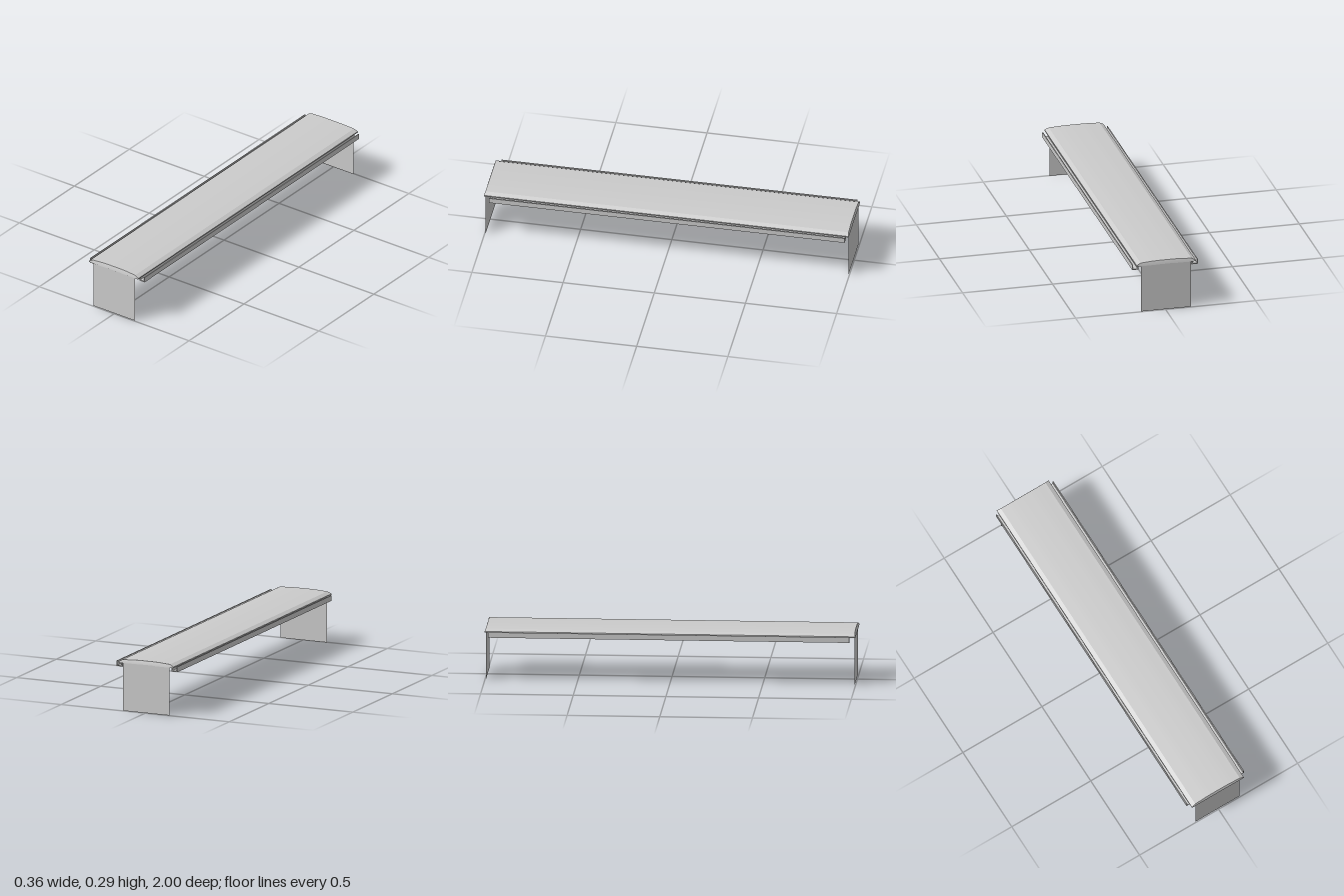
import * as THREE from 'three';
import { toCreasedNormals } from 'three/addons/utils/BufferGeometryUtils.js';

const material = new THREE.MeshStandardMaterial({ color: 0xcccccc });
const thinMaterial = new THREE.MeshStandardMaterial({ color: 0xcccccc, side: THREE.DoubleSide });

// Extrude a cross-section of [x, y] points from z0 to z1
function extrudeProfile(points, z0, z1) {
  const shape = new THREE.Shape(points.map(([x, y]) => new THREE.Vector2(x, y)));
  const geometry = new THREE.ExtrudeGeometry(shape, { depth: z1 - z0, bevelEnabled: false });
  return geometry.translate(0, 0, z0);
}

function addMesh(group, name, geometry, mat = material) {
  const mesh = new THREE.Mesh(geometry, mat);
  mesh.name = name;
  group.add(mesh);
  return mesh;
}

export function createModel() {
  const group = new THREE.Group();
  group.name = 'canopy';

  // Shallow arched roof with a slightly raised underside
  const roofShape = [
    [-0.168, 0.264], [-0.06, 0.2645], [-0.05, 0.266], [0.042, 0.266], [0.052, 0.2645], [0.16, 0.264],
    [0.16, 0.2705], [0.137, 0.282], [0.1, 0.284], [0.072, 0.286], [0.03, 0.2867],
    [-0.038, 0.2867], [-0.08, 0.286], [-0.108, 0.284], [-0.145, 0.282], [-0.168, 0.2705],
  ];
  const roof = extrudeProfile(roofShape, -1, 1);
  // Lean the end faces in slightly towards the top
  const pos = roof.attributes.position;
  for (let i = 0; i < pos.count; i++) {
    const lean = Math.max(0, pos.getY(i) - 0.2705) * 0.4;
    pos.setZ(i, pos.getZ(i) - Math.sign(pos.getZ(i)) * lean);
  }
  addMesh(group, 'roof', toCreasedNormals(roof, 0.3));

  // U-shaped gutters along both long sides
  const gutterShape = [
    [0.147, 0.265], [0.147, 0.24], [0.182, 0.24], [0.182, 0.269],
    [0.177, 0.269], [0.177, 0.2455], [0.1525, 0.2455], [0.1525, 0.265],
  ];
  for (const side of [1, -1]) {
    const points = gutterShape.map(([x, y]) => [side * x - 0.0015, y]);
    addMesh(group, side > 0 ? 'leftGutter' : 'rightGutter', extrudeProfile(points, -0.982, 0.968));
  }

  // Thin upright panels closing the two ends
  for (const end of [1, -1]) {
    const panel = addMesh(group, end > 0 ? 'frontPanel' : 'backPanel',
      new THREE.PlaneGeometry(0.277, 0.265), thinMaterial);
    panel.position.set(-0.0045, 0.1325, end * 0.995);
  }
  return group;
}
